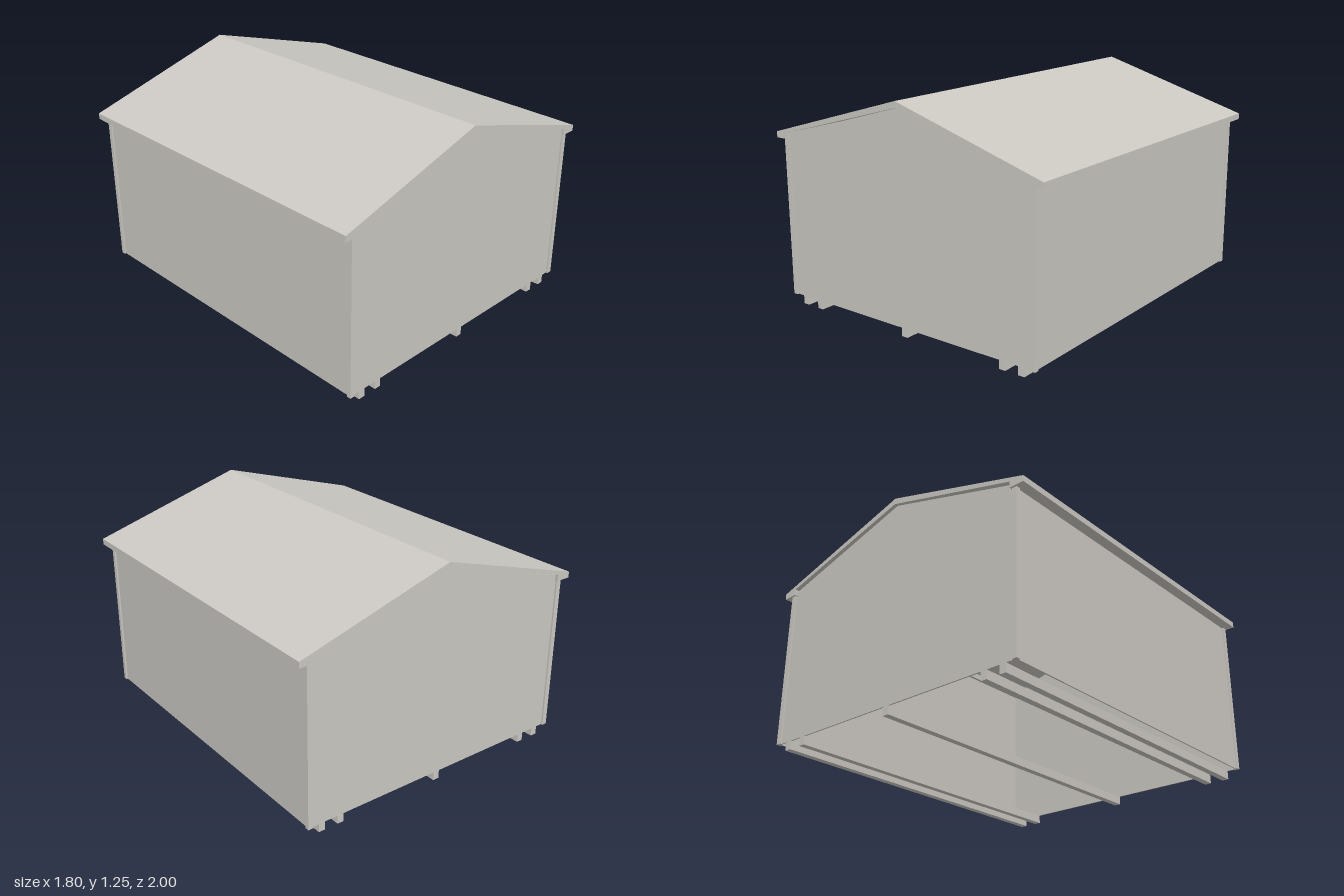
import * as THREE from 'three';

export function createModel() {
  const group = new THREE.Group();
  const paint = new THREE.MeshStandardMaterial({ color: 0xccc9c3 });
  paint.name = 'pale grey';

  function add(name, geometry, x, y, z) {
    const mesh = new THREE.Mesh(geometry, paint);
    mesh.name = name;
    mesh.position.set(x, y, z);
    group.add(mesh);
  }
  const box = (name, w, h, d, x, y, z) => add(name, new THREE.BoxGeometry(w, h, d), x, y, z);

  // Extrude an x-y outline along z, centred on z
  function slab(name, points, depth, z) {
    const shape = new THREE.Shape(points.map(([x, y]) => new THREE.Vector2(x, y)));
    add(name, new THREE.ExtrudeGeometry(shape, { depth, bevelEnabled: false }), 0, 0, z - depth / 2);
  }

  const base = 0.048, eave = 0.952;

  // Gabled roof with dropped eaves, hollow underneath
  slab('roof', [
    [0.9, eave], [0.9, 0.986], [0, 1.252], [-0.9, 0.986], [-0.9, eave],
    [-0.814, eave], [-0.814, 0.988], [0, 1.217], [0.814, 0.988], [0.814, eave],
  ], 2, 0);

  for (const s of [-1, 1]) {
    // Thin gable walls, a hair below the roof towards the eaves
    slab(s > 0 ? 'frontWall' : 'backWall', [
      [-0.84, base], [0.84, base], [0.84, 0.973], [0, 1.216], [-0.84, 0.973],
    ], 0.008, s * 0.976);

    // Side walls
    box(s > 0 ? 'leftWall' : 'rightWall', 0.008, 0.96 - base, 1.95, s * 0.836, (0.96 + base) / 2, 0);

    // L-shaped corner trims
    for (const t of [-1, 1]) {
      const h = eave - base, y = (eave + base) / 2;
      box('cornerTrimFace', 0.03, h, 0.01, s * 0.835, y, t * 0.985);
      box('cornerTrimSide', 0.01, h, 0.015, s * 0.845, y, t * 0.9725);
    }
  }

  // Ground skids running the full length
  for (const x of [-0.76, -0.645, 0, 0.645, 0.76]) {
    box('skid', 0.038, base, 1.96, x, base / 2, 0);
  }

  return group;
}
